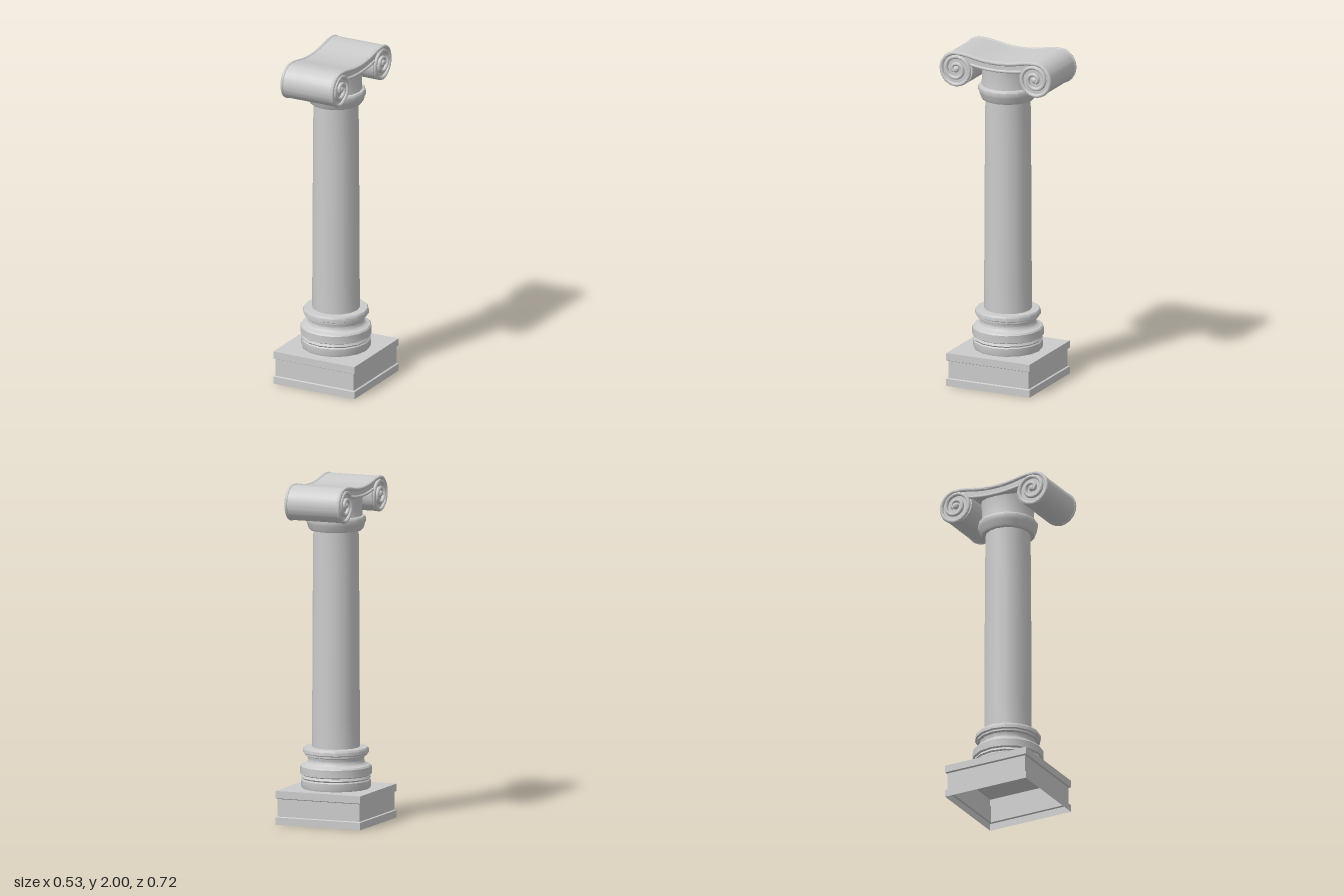
import * as THREE from 'three';
import { toCreasedNormals } from 'three/addons/utils/BufferGeometryUtils.js';

const material = new THREE.MeshStandardMaterial({ color: 0xcccccc, side: THREE.DoubleSide });

function addPart(parent, name, geometry, crease = 0.6) {
  const mesh = new THREE.Mesh(toCreasedNormals(geometry, crease), material);
  mesh.name = name;
  parent.add(mesh);
  return mesh;
}

// Turned part from [radius, height] pairs, bottom to top
function turned(profile, sides = 16) {
  return new THREE.LatheGeometry(profile.map(([r, y]) => new THREE.Vector2(r, y)), sides);
}

// Volute centre and size, in the z-y plane
const CZ = 0.252, CY = 1.889, R = 0.102;

// Side outline of the scroll: sagging top, two round volutes, band underside
function scrollShape() {
  const s = new THREE.Shape();
  s.moveTo(0, 1.963);
  s.bezierCurveTo(0.13, 1.963, 0.16, CY + R, CZ, CY + R);
  s.absarc(CZ, CY, R, Math.PI / 2, -Math.PI * 1.12, true);
  s.quadraticCurveTo(0.09, 1.902, 0, 1.902);
  s.quadraticCurveTo(-0.09, 1.902, -CZ + R * Math.cos(0.12 * Math.PI), CY + R * Math.sin(0.12 * Math.PI));
  s.absarc(-CZ, CY, R, Math.PI * 0.12, -Math.PI * 1.5, true);
  s.bezierCurveTo(-0.16, CY + R, -0.13, 1.963, 0, 1.963);
  return s;
}

// Bead along the top edge that winds into both volutes
function spiralBead() {
  const half = [];
  const top = new THREE.CubicBezierCurve(
    new THREE.Vector2(0, 1.956), new THREE.Vector2(0.13, 1.956),
    new THREE.Vector2(0.16, CY + 0.095), new THREE.Vector2(CZ, CY + 0.095));
  for (let i = 1; i < 8; i++) {
    const p = top.getPoint(i / 8);
    half.push(new THREE.Vector3(0.163, p.y, p.x));
  }
  const end = 15;
  for (let i = 0; i <= 60; i++) {
    const t = (i / 60) * end;
    const r = 0.095 - 0.0066 * Math.max(0, t - 3);
    half.push(new THREE.Vector3(0.163 + 0.008 * t / end, CY + r * Math.cos(t), CZ + r * Math.sin(t)));
  }
  const mirrored = half.map(p => new THREE.Vector3(p.x, p.y, -p.z)).reverse();
  const path = new THREE.CatmullRomCurve3([...mirrored, new THREE.Vector3(0.163, 1.956, 0), ...half]);
  return new THREE.TubeGeometry(path, 340, 0.0115, 8);
}

export function createModel() {
  const model = new THREE.Group();
  model.name = 'column';

  // Square plinth, a shell open underneath
  const k = Math.SQRT2;
  const plinth = turned([
    [0.267 * k, 0], [0.267 * k, 0.043], [0.257 * k, 0.047], [0.257 * k, 0.15],
    [0.267 * k, 0.155], [0.267 * k, 0.198], [0, 0.198],
  ], 4);
  plinth.rotateY(Math.PI / 4);
  addPart(model, 'plinth', plinth, 0.5);

  // Stacked round mouldings
  addPart(model, 'base', turned([
    [0, 0.198], [0.198, 0.198], [0.202, 0.21], [0.202, 0.245], [0.196, 0.252], [0.203, 0.26],
    [0.196, 0.274], [0.207, 0.28], [0.207, 0.325], [0.2, 0.334], [0.18, 0.338],
    [0.168, 0.348], [0.162, 0.365], [0.167, 0.385], [0.181, 0.39], [0.181, 0.4],
    [0.191, 0.405], [0.191, 0.425], [0.184, 0.436], [0.13, 0.438],
  ]));

  addPart(model, 'shaft', turned([
    [0.138, 0.43], [0.138, 0.6], [0.136, 1.0], [0.134, 1.4], [0.131, 1.72],
  ]));

  // Bell and neck under the scroll
  addPart(model, 'capitalNeck', turned([
    [0.128, 1.706], [0.152, 1.706], [0.16, 1.718], [0.168, 1.745], [0.173, 1.755],
    [0.173, 1.778], [0.167, 1.788], [0.153, 1.79], [0.152, 1.81],
    [0.15, 1.85], [0.156, 1.915], [0, 1.915],
  ]));

  // Scroll with its beads and eyes
  const scroll = new THREE.Group();
  scroll.name = 'scroll';
  model.add(scroll);

  const body = new THREE.ExtrudeGeometry(scrollShape(), { depth: 0.32, bevelEnabled: false, curveSegments: 32 });
  body.translate(0, 0, -0.16);
  body.rotateY(Math.PI / 2);
  addPart(scroll, 'scrollBody', body);

  for (const side of [1, -1]) {
    const end = new THREE.Group();
    end.name = side > 0 ? 'leftScrollEnd' : 'rightScrollEnd';
    if (side < 0) end.rotation.y = Math.PI;
    scroll.add(end);

    addPart(end, 'spiralBead', spiralBead(), 1);

    const lower = new THREE.QuadraticBezierCurve3(
      new THREE.Vector3(0.161, 1.926, -0.162), new THREE.Vector3(0.161, 1.896, 0),
      new THREE.Vector3(0.161, 1.926, 0.162));
    addPart(end, 'lowerBead', new THREE.TubeGeometry(lower, 24, 0.009, 8), 1);

    for (const z of [CZ, -CZ]) {
      const eye = new THREE.SphereGeometry(0.02, 16, 10);
      eye.scale(0.8, 1, 1);
      eye.translate(0.168, CY, z);
      addPart(end, 'voluteEye', eye, 1);
    }
  }
  return model;
}
